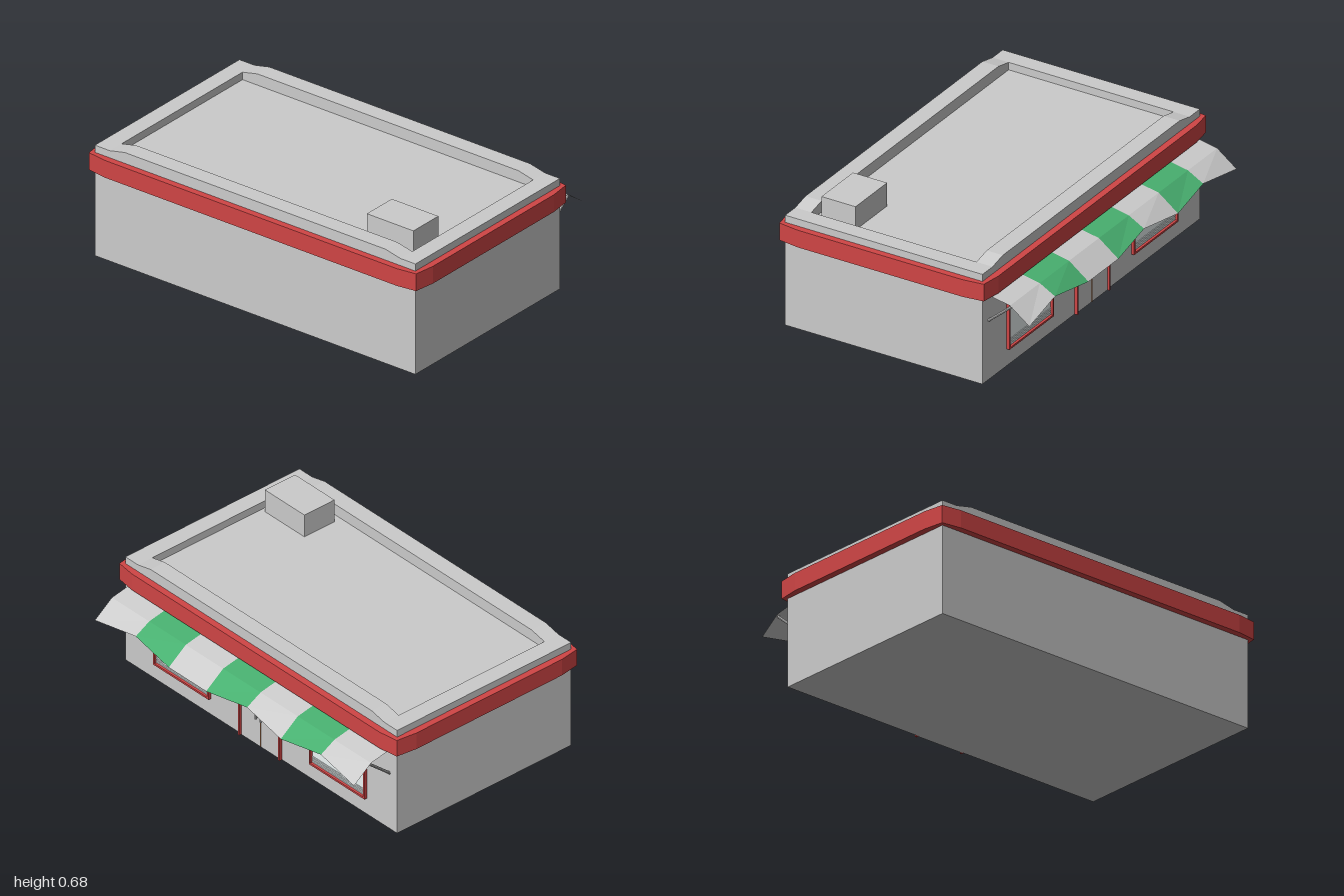
import * as THREE from 'three';

const mat = (color, extra = {}) => new THREE.MeshStandardMaterial({ color, flatShading: true, ...extra });
const GREY = mat(0xcccccc), RED = mat(0xd04545), GLASS = mat(0xeef6f6), BRONZE = mat(0xb07850);
const CLOTH = [0xcccccc, 0x48b070].map(c => mat(c, { side: THREE.DoubleSide }));

function add(parent, name, geometry, material) {
  const mesh = new THREE.Mesh(geometry, material);
  mesh.name = name;
  parent.add(mesh);
  return mesh;
}

// Box given by its minimum and maximum on each axis
function box(parent, name, [x0, x1], [y0, y1], [z0, z1], material = GREY) {
  const mesh = add(parent, name, new THREE.BoxGeometry(x1 - x0, y1 - y0, z1 - z0), material);
  mesh.position.set((x0 + x1) / 2, (y0 + y1) / 2, (z0 + z1) / 2);
  return mesh;
}

// Horizontal ring: plan outlines in (x, z), extruded from y0 to y1
function ring(parent, name, outer, inner, y0, y1, material) {
  const toVec = pts => pts.map(([x, z]) => new THREE.Vector2(x, -z));
  const shape = new THREE.Shape(toVec(outer));
  shape.holes.push(new THREE.Path(toVec(inner)));
  const g = new THREE.ExtrudeGeometry(shape, { depth: y1 - y0, bevelEnabled: false });
  g.rotateX(-Math.PI / 2).translate(0, y0, 0);
  return add(parent, name, g, material);
}

const rect = (x0, x1, z) => [[x0, z], [x1, z], [x1, -z], [x0, -z]];

// Frame on the shop wall: outline in (z, y), projecting along +x
function wallFrame(parent, name, z0, z1, y0, y1, w, sill) {
  box(parent, name + 'Top', [0.44, 0.466], [y1 - w, y1], [z0, z1], RED);
  if (sill) box(parent, name + 'Sill', [0.44, 0.466], [y0, y0 + w], [z0, z1], RED);
  for (const z of [z0, z1 - w]) box(parent, name + 'Jamb', [0.44, 0.466], [y0, y1], [z, z + w], RED);
}

// One awning strip between two stations [z, lip x, lip y]
function awningStrip(parent, a, b, material) {
  const section = ([z, x, y]) => [[0.45, 0.46, z], [0.575, 0.437, z], [x, y, z]];
  const p = section(a), q = section(b), pos = [];
  for (let i = 0; i < 2; i++) {
    pos.push(...p[i], ...p[i + 1], ...q[i], ...q[i], ...p[i + 1], ...q[i + 1]);
  }
  const g = new THREE.BufferGeometry();
  g.setAttribute('position', new THREE.Float32BufferAttribute(pos, 3));
  g.computeVertexNormals();
  add(parent, 'awningStrip', g, material);
}

function rod(parent, name, from, to, radius) {
  const a = new THREE.Vector3(...from), b = new THREE.Vector3(...to), d = b.clone().sub(a);
  const mesh = add(parent, name, new THREE.CylinderGeometry(radius, radius, d.length(), 8), GREY);
  mesh.position.copy(a).add(b).multiplyScalar(0.5);
  mesh.quaternion.setFromUnitVectors(new THREE.Vector3(0, 1, 0), d.normalize());
}

export function createModel() {
  const model = new THREE.Group();
  model.name = 'shop';

  // Walls and sunken roof
  box(model, 'walls', [-0.65, 0.45], [0, 0.55], [-0.965, 0.965]);
  ring(model, 'parapet', rect(-0.65, 0.45, 0.965), rect(-0.56, 0.36, 0.875), 0.55, 0.59, GREY);

  // Raised parapet caps along the long sides, ramped at the ends
  const cap = new THREE.Shape([[-0.875, 0.59], [0.875, 0.59], [0.785, 0.61], [-0.785, 0.61]]
    .map(p => new THREE.Vector2(...p)));
  for (const x of [-0.605, 0.405]) {
    const g = new THREE.ExtrudeGeometry(cap, { depth: 0.09, bevelEnabled: false });
    g.translate(0, 0, -0.045).rotateY(-Math.PI / 2).translate(x, 0, 0);
    add(model, 'parapetCap', g, GREY);
  }
  box(model, 'roofUnit', [-0.52, -0.33], [0.55, 0.675], [0.57, 0.85]);

  // Fascia band with softened corners
  const quarter = [[0.585, 0.88], [0.57, 0.985], [0.46, 1]];
  const mirrored = (sx, sz, flip) => (flip ? [...quarter].reverse() : quarter)
    .map(([x, z]) => [x * sx - 0.1, z * sz]);
  ring(model, 'fascia', [...mirrored(1, 1, false), ...mirrored(-1, 1, true),
    ...mirrored(-1, -1, false), ...mirrored(1, -1, true)], rect(-0.65, 0.45, 0.965), 0.46, 0.552, RED);

  // Striped awning with a wavy lip
  const awning = new THREE.Group();
  awning.name = 'awning';
  model.add(awning);
  const low = [0.683, 0.356], high = [0.66, 0.39];
  const stations = [[0.92, ...low], [0.655, ...high], [0.395, ...low], [0.13, ...low],
    [-0.135, ...high], [-0.4, ...low], [-0.66, ...high], [-0.92, ...low]];
  for (let i = 0; i < 7; i++) awningStrip(awning, stations[i], stations[i + 1], CLOTH[i % 2]);
  for (const z of [0.91, 0.245, -0.24, -0.91]) {
    rod(awning, 'awningStrut', [0.448, 0.317, z], [0.578, 0.428, z], 0.007);
  }

  // Double door
  const door = new THREE.Group();
  door.name = 'door';
  model.add(door);
  wallFrame(door, 'doorFrame', -0.147, 0.147, 0, 0.355, 0.01, false);
  box(door, 'doorSeam', [0.44, 0.456], [0, 0.345], [-0.002, 0.002], BRONZE);
  for (const s of [-1, 1]) {
    box(door, 'doorLeaf', [0.44, 0.454], [0, 0.345], [s * 0.0695 - 0.0675, s * 0.0695 + 0.0675]);
    rod(door, 'doorHandle', [0.47, 0.157, s * 0.018], [0.47, 0.197, s * 0.018], 0.005);
    for (const y of [0.163, 0.191]) rod(door, 'handleMount', [0.45, y, s * 0.018], [0.47, y, s * 0.018], 0.003);
  }

  // Display windows with low slats
  for (const s of [-1, 1]) {
    const win = new THREE.Group();
    win.name = 'displayWindow';
    model.add(win);
    const z0 = s * 0.553 - 0.197, z1 = s * 0.553 + 0.197;
    wallFrame(win, 'windowFrame', z0, z1, 0.09, 0.355, 0.01, true);
    box(win, 'glass', [0.44, 0.453], [0.095, 0.35], [z0 + 0.005, z1 - 0.005], GLASS);
    for (let i = 0; i < 4; i++) {
      const y = 0.103 + i * 0.01;
      box(win, 'slat', [0.45, 0.456], [y, y + 0.004], [z0 + 0.01, z1 - 0.01], GLASS);
    }
  }
  return model;
}
